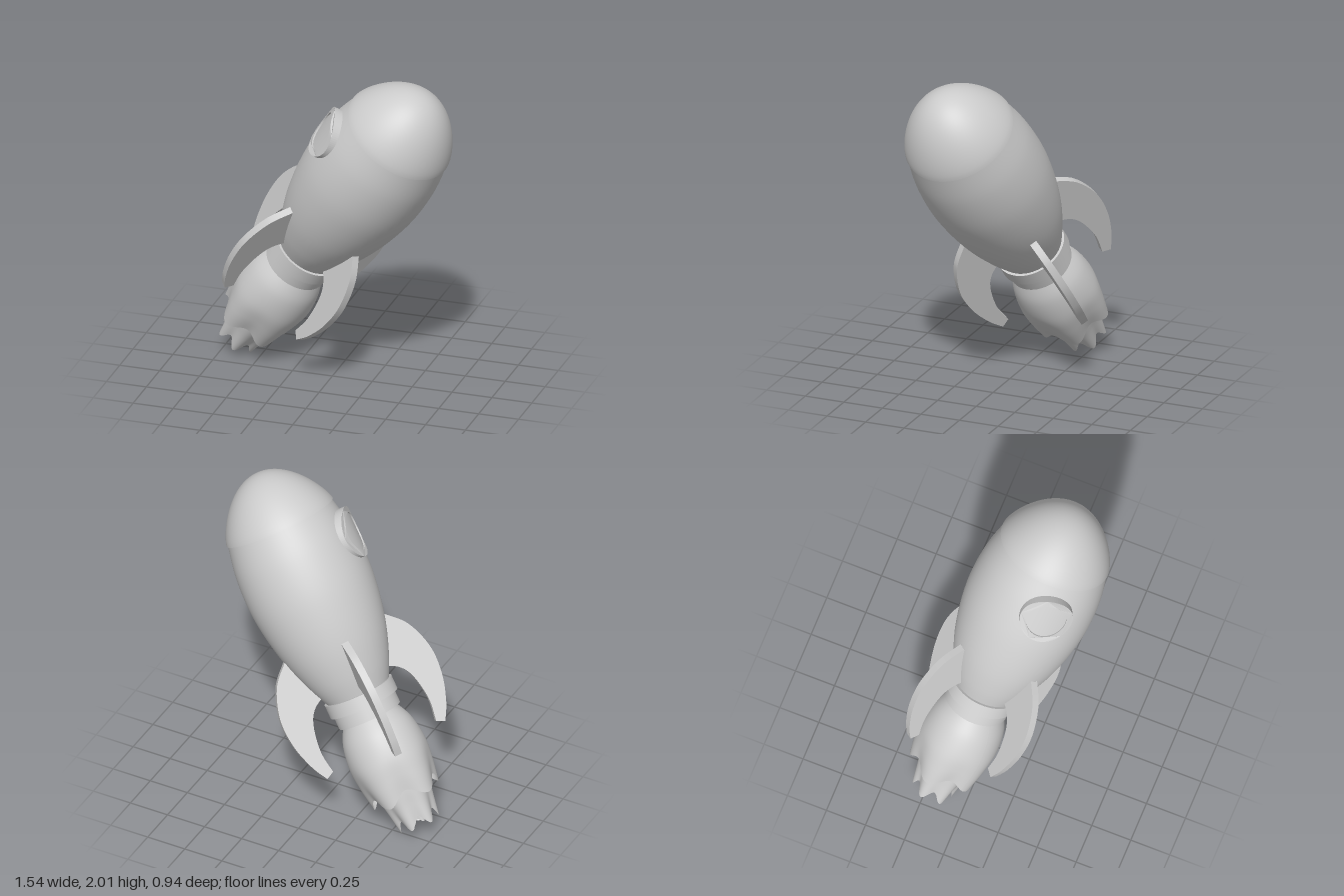
import * as THREE from 'three';

const mat = new THREE.MeshStandardMaterial({ color: 0xcccccc });
const thinMat = new THREE.MeshStandardMaterial({ color: 0xcccccc, side: THREE.DoubleSide });

function add(parent, name, geometry, material = mat) {
  const mesh = new THREE.Mesh(geometry, material);
  mesh.name = name;
  parent.add(mesh);
  return mesh;
}

// Smooth lathe through a few [radius, height] points, listed from bottom to top
function smoothLathe(points, divisions = 40, segments = 72) {
  const curve = new THREE.SplineCurve(points.map(p => new THREE.Vector2(...p)));
  return new THREE.LatheGeometry(curve.getPoints(divisions), segments);
}

// Short straight-walled ring, closed at both ends
function band(name, parent, radius, top, bottom) {
  const mesh = add(parent, name, new THREE.CylinderGeometry(radius, radius, top - bottom, 64));
  mesh.position.y = (top + bottom) / 2;
}

// Open flame tongue: a lathe whose lower rim is pulled into soft wavy teeth
function flame(parent, name, points, teeth, amp, phase) {
  const geo = smoothLathe(points, 24, 120);
  const pos = geo.attributes.position;
  const low = points[0][1], high = points[points.length - 1][1];
  for (let i = 0; i < pos.count; i++) {
    const x = pos.getX(i), y = pos.getY(i), z = pos.getZ(i);
    const k = ((high - y) / (high - low)) ** 2;
    const wave = Math.sin(teeth * Math.atan2(x, z) + phase);
    const flare = 1 + 0.04 * k * wave;
    pos.setXYZ(i, x * flare, y - amp * k * wave, z * flare);
  }
  geo.computeVertexNormals();
  add(parent, name, geo, thinMat);
}

// Crescent fin lying in the local xy plane, x pointing outward
function finGeometry(thickness) {
  const s = new THREE.Shape();
  s.moveTo(0.24, -0.79);
  s.lineTo(0.335, -0.785);
  s.splineThru([[0.44, -0.9], [0.502, -1.08], [0.497, -1.26], [0.45, -1.42], [0.395, -1.525]]
    .map(p => new THREE.Vector2(...p)));
  s.lineTo(0.345, -1.5);
  s.splineThru([[0.362, -1.36], [0.335, -1.2], [0.28, -1.11], [0.17, -1.05]]
    .map(p => new THREE.Vector2(...p)));
  s.closePath();
  const geo = new THREE.ExtrudeGeometry(s, { depth: thickness, bevelEnabled: false, curveSegments: 28 });
  return geo.translate(0, 0, -thickness / 2);
}

// Wraps a geometry facing z around the hull
function wrap(geo) {
  const pos = geo.attributes.position;
  for (let i = 0; i < pos.count; i++) pos.setZ(i, pos.getZ(i) - pos.getX(i) ** 2 / 0.8);
  geo.computeVertexNormals();
  return geo;
}

export function createModel() {
  const model = new THREE.Group();
  model.name = 'rocketModel';

  // The rocket is built upright with the nose seam at height 0, then tilted
  const rocket = new THREE.Group();
  rocket.name = 'rocket';
  model.add(rocket);

  // Hull
  add(rocket, 'hull', smoothLathe([
    [0.198, -1.14], [0.262, -1.0], [0.324, -0.82], [0.367, -0.62],
    [0.387, -0.42], [0.376, -0.2], [0.334, 0.01],
  ]));

  // Nose cap: rounded cone with a slight overhanging rim
  const nose = [new THREE.Vector2(0.3, -0.012), new THREE.Vector2(0.347, -0.012)];
  add(rocket, 'noseRim', new THREE.LatheGeometry(nose, 72), thinMat);
  const dome = [];
  for (let i = 0; i <= 32; i++) {
    const u = Math.sin(i / 32 * Math.PI / 2);
    dome.push(new THREE.Vector2(0.348 * Math.sqrt(1 - u ** 1.25), -0.012 + 0.325 * u));
  }
  add(rocket, 'noseCap', new THREE.LatheGeometry(dome, 72));

  // Stepped exhaust collar
  band('upperCollar', rocket, 0.219, -1.13, -1.215);
  band('lowerCollar', rocket, 0.199, -1.215, -1.295);

  // Layered exhaust flame
  flame(rocket, 'outerFlame', [
    [0.208, -1.8], [0.233, -1.68], [0.245, -1.55], [0.222, -1.4], [0.165, -1.28],
  ], 5, 0.036, 0.6);
  flame(rocket, 'middleFlame', [
    [0.12, -1.985], [0.142, -1.88], [0.17, -1.74], [0.175, -1.58],
  ], 6, 0.035, 2.2);
  flame(rocket, 'innerFlame', [
    [0.05, -1.99], [0.075, -1.88], [0.095, -1.74], [0.09, -1.62],
  ], 5, 0.015, 1.0);

  // Four crescent fins
  const finGeo = finGeometry(0.045);
  for (let i = 0; i < 4; i++) {
    add(rocket, 'fin', finGeo).rotation.y = i * Math.PI / 2;
  }

  // Porthole: low ring with a slightly recessed pane, wrapped around the hull
  const porthole = new THREE.Group();
  porthole.name = 'porthole';
  porthole.rotation.y = -0.45;
  porthole.position.y = -0.235;
  rocket.add(porthole);
  const ringShape = new THREE.Shape().absarc(0, 0, 0.16, 0, Math.PI * 2);
  ringShape.holes.push(new THREE.Path().absarc(0, 0, 0.12, 0, Math.PI * 2, true));
  add(porthole, 'portholeRing', wrap(new THREE.ExtrudeGeometry(ringShape, {
    depth: 0.08, bevelEnabled: false, curveSegments: 40,
  }))).position.z = 0.327;
  add(porthole, 'portholePane', wrap(new THREE.RingGeometry(0, 0.122, 48, 8))).position.z = 0.398;

  // Tilt along the flight direction
  const up = new THREE.Vector3(0.563, 0.81, 0.168).normalize();
  const side = new THREE.Vector3(-0.607, 0.263, 0.75);
  side.addScaledVector(up, -side.dot(up)).normalize();
  const across = new THREE.Vector3().crossVectors(up, side);
  rocket.quaternion.setFromRotationMatrix(new THREE.Matrix4().makeBasis(across, up, side));
  rocket.position.set(0.47, 1.695, 0.13);
  return model;
}
